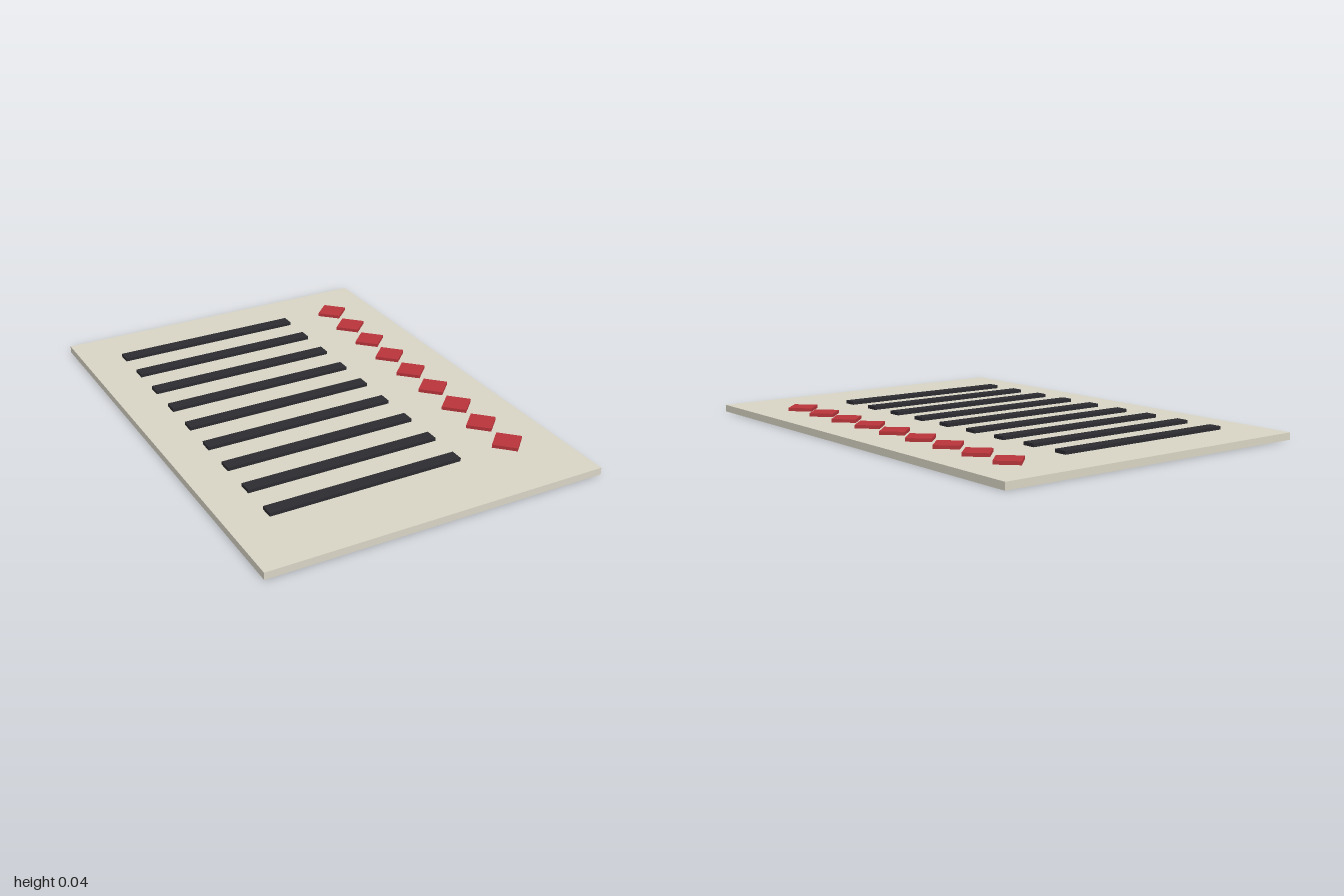
import * as THREE from 'three';

const material = (color) => new THREE.MeshStandardMaterial({ color });

// Box placed by its centre in x and z and its underside in y
function block(name, size, mat, x, y, z, turn = 0) {
  const mesh = new THREE.Mesh(new THREE.BoxGeometry(...size), mat);
  mesh.name = name;
  mesh.position.set(x, y + size[1] / 2, z);
  mesh.rotation.y = turn;
  return mesh;
}

export function createModel() {
  const model = new THREE.Group();
  model.name = 'listSheet';

  const paper = material(0xd8d4c4);
  const ink = material(0x2b2b30);
  const red = material(0xb8343a);

  // Flat base sheet
  const thickness = 0.03;
  model.add(block('sheet', [1.446, thickness, 2], paper, 0, 0, 0));

  // Nine rows: a dark line with a red diamond marker beside it
  const rows = 9, firstZ = -0.76, spacing = 0.1793;
  const relief = 0.014, side = 0.073 * Math.SQRT2;
  for (let i = 0; i < rows; i++) {
    const z = firstZ + i * spacing;
    const row = new THREE.Group();
    row.name = `row${i + 1}`;
    row.add(block('line', [0.827, relief, 0.056], ink, -0.139, thickness, z));
    row.add(block('diamondMarker', [side, relief, side], red, 0.514, thickness, z, Math.PI / 4));
    model.add(row);
  }

  return model;
}
